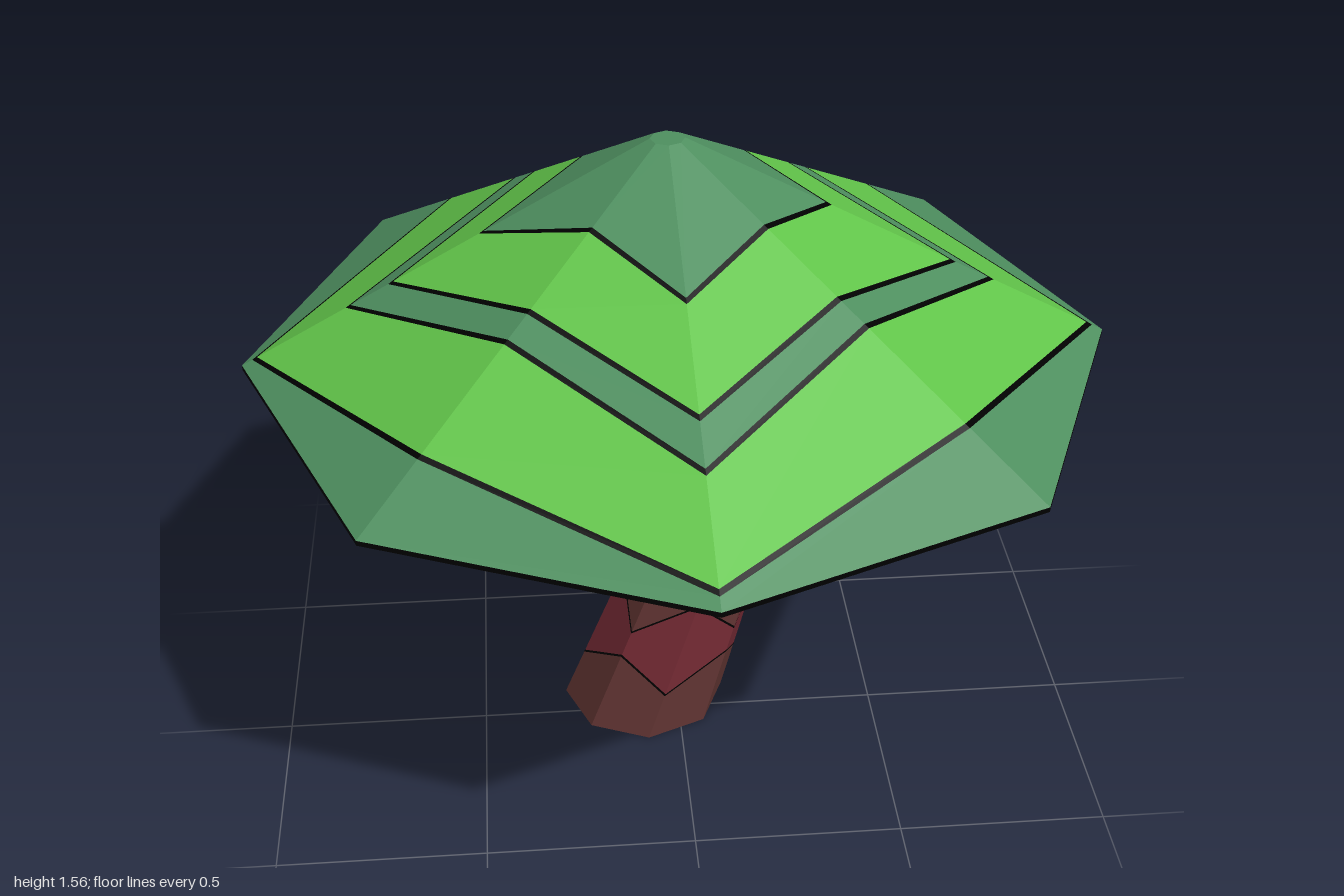
import * as THREE from 'three';

const SIDES = 8;
const V = (x, y, z) => new THREE.Vector3(x, y, z);

// Point number i of an octagon ring given as [centreX, y, centreZ, radius]
function ringPoint([cx, y, cz, r], i) {
  const a = (i % SIDES) * Math.PI / 4;
  return V(cx + r * Math.cos(a), y, cz + r * Math.sin(a));
}

// Collects flat faces (counter-clockwise corners) into one mesh
class Facets {
  constructor() { this.positions = []; }
  add(...corners) {
    for (let k = 1; k < corners.length - 1; k++) {
      for (const p of [corners[0], corners[k], corners[k + 1]]) this.positions.push(p.x, p.y, p.z);
    }
  }
  mesh(name, material) {
    const g = new THREE.BufferGeometry();
    g.setAttribute('position', new THREE.Float32BufferAttribute(this.positions, 3));
    g.computeVertexNormals();
    const m = new THREE.Mesh(g, material);
    m.name = name;
    return m;
  }
}

// Fills the wall between two spokes, from lower to upper level
function wall(target, point, i, lowA, highA, lowB, highB) {
  const j = (i + 1) % SIDES;
  target.add(point(j, lowB), point(i, lowA), point(i, highA), point(j, highB));
}

function material(name, color) {
  const m = new THREE.MeshStandardMaterial({ color });
  m.name = name;
  return m;
}

function createCanopy(leaf, lightLeaf, outline) {
  const group = new THREE.Group();
  group.name = 'canopy';
  const top = [-0.015, 1.56, -0.115, 0.04];
  const rim = [0, 1.085, 0, 1];
  const rimBottom = [0, 1.073, 0, 1];
  const point = (i, t) => ringPoint(top, i).lerp(ringPoint(rim, i), t);

  // Band edges along each spoke, as fractions from the top to the rim
  const edges = [
    [0.333, 0.630, 0.723, 0.967],
    [0.245, 0.448, 0.523, 0.790],
    [0.367, 0.619, 0.730, 0.963],
    [0.235, 0.448, 0.525, 0.805],
    [0.407, 0.630, 0.735, 0.968],
    [0.240, 0.410, 0.480, 0.725],
    [0.349, 0.633, 0.740, 0.964],
    [0.240, 0.410, 0.480, 0.740],
  ];
  const halfLine = [0.007, 0.006, 0.007, 0.006, 0.006, 0.004, 0.004, 0.004];

  const dark = new Facets(), light = new Facets(), line = new Facets(), under = new Facets();
  const peak = V(top[0], top[1], top[2]);
  const hollow = V(-0.015, 1.34, -0.115);
  for (let i = 0; i < SIDES; i++) {
    const j = (i + 1) % SIDES;
    // Alternating bands, with a dark line on every border
    for (let b = 0; b <= 4; b++) {
      const start = k => (b === 0 ? 0 : edges[k][b - 1] + halfLine[k]);
      const end = k => (b === 4 ? 1 : edges[k][b] - halfLine[k]);
      wall(b % 2 ? light : dark, point, i, end(i), start(i), end(j), start(j));
      if (b < 4) {
        const e = edges[i][b], f = edges[j][b], h = halfLine[i], g = halfLine[j];
        wall(line, point, i, e + h, e - h, f + g, f - g);
      }
    }
    // Small flat top, thin rim and hollow underside
    dark.add(peak, ringPoint(top, j), ringPoint(top, i));
    line.add(ringPoint(rimBottom, j), ringPoint(rimBottom, i), ringPoint(rim, i), ringPoint(rim, j));
    under.add(ringPoint(rimBottom, i), ringPoint(rimBottom, j), hollow);
  }
  group.add(
    dark.mesh('canopyDarkBands', leaf),
    light.mesh('canopyLightBands', lightLeaf),
    line.mesh('canopyOutlines', outline),
    under.mesh('canopyUnderside', leaf),
  );
  return group;
}

function createTrunk(bark, redBark, outline) {
  const group = new THREE.Group();
  group.name = 'trunk';
  // Bent trunk: leans, kinks, then flares into the canopy
  const rings = [
    [-0.085, 0, -0.085, 0.205],
    [0.07, 0.475, -0.087, 0.168],
    [0.005, 1.0, -0.11, 0.118],
    [-0.03, 1.32, -0.11, 0.155],
  ];
  const point = (i, y) => {
    let k = 0;
    while (k < rings.length - 2 && y > rings[k + 1][1]) k++;
    const f = (y - rings[k][1]) / (rings[k + 1][1] - rings[k][1]);
    return ringPoint(rings[k], i).lerp(ringPoint(rings[k + 1], i), f);
  };
  // Heights of the zigzag borders on even and odd spokes
  const levels = [
    [0, 0.13, 0.39, 0.475, 0.88, 1.0, 1.32],
    [0, 0.215, 0.285, 0.475, 0.65, 1.13, 1.32],
  ];
  const h = 0.003;
  const brown = new Facets(), red = new Facets(), line = new Facets();
  for (let i = 0; i < SIDES; i++) {
    const a = levels[i % 2], b = levels[(i + 1) % 2];
    for (let s = 0; s < 6; s++) {
      const plain = s === 4 && (i === 3 || i === 4);
      wall((s === 1 || s === 4) && !plain ? red : brown, point, i, a[s], a[s + 1], b[s], b[s + 1]);
    }
    // Thin outlines sitting just above the bark
    const raised = (k, y) => {
      const ang = k * Math.PI / 4;
      return point(k, y).add(V(0.001 * Math.cos(ang), 0, 0.001 * Math.sin(ang)));
    };
    for (const s of [1, 2, 4, 5]) {
      if (s > 3 && (i === 3 || i === 4)) continue;
      wall(line, raised, i, a[s] - h, a[s] + h, b[s] - h, b[s] + h);
    }
  }
  const loop = [...Array(SIDES).keys()];
  brown.add(...loop.map(i => ringPoint(rings[0], i)));
  brown.add(...loop.map(i => ringPoint(rings[3], i)).reverse());
  group.add(
    brown.mesh('trunkBark', bark),
    red.mesh('trunkRedPatches', redBark),
    line.mesh('trunkOutlines', outline),
  );
  return group;
}

export function createModel() {
  const leaf = material('dark green', 0x4f9060);
  const lightLeaf = material('light green', 0x62c54a);
  const bark = material('brown', 0x643634);
  const redBark = material('dark red', 0x782c36);
  const outline = material('black', 0x000000);

  const model = new THREE.Group();
  model.name = 'tree';
  model.add(createCanopy(leaf, lightLeaf, outline), createTrunk(bark, redBark, outline));
  return model;
}
